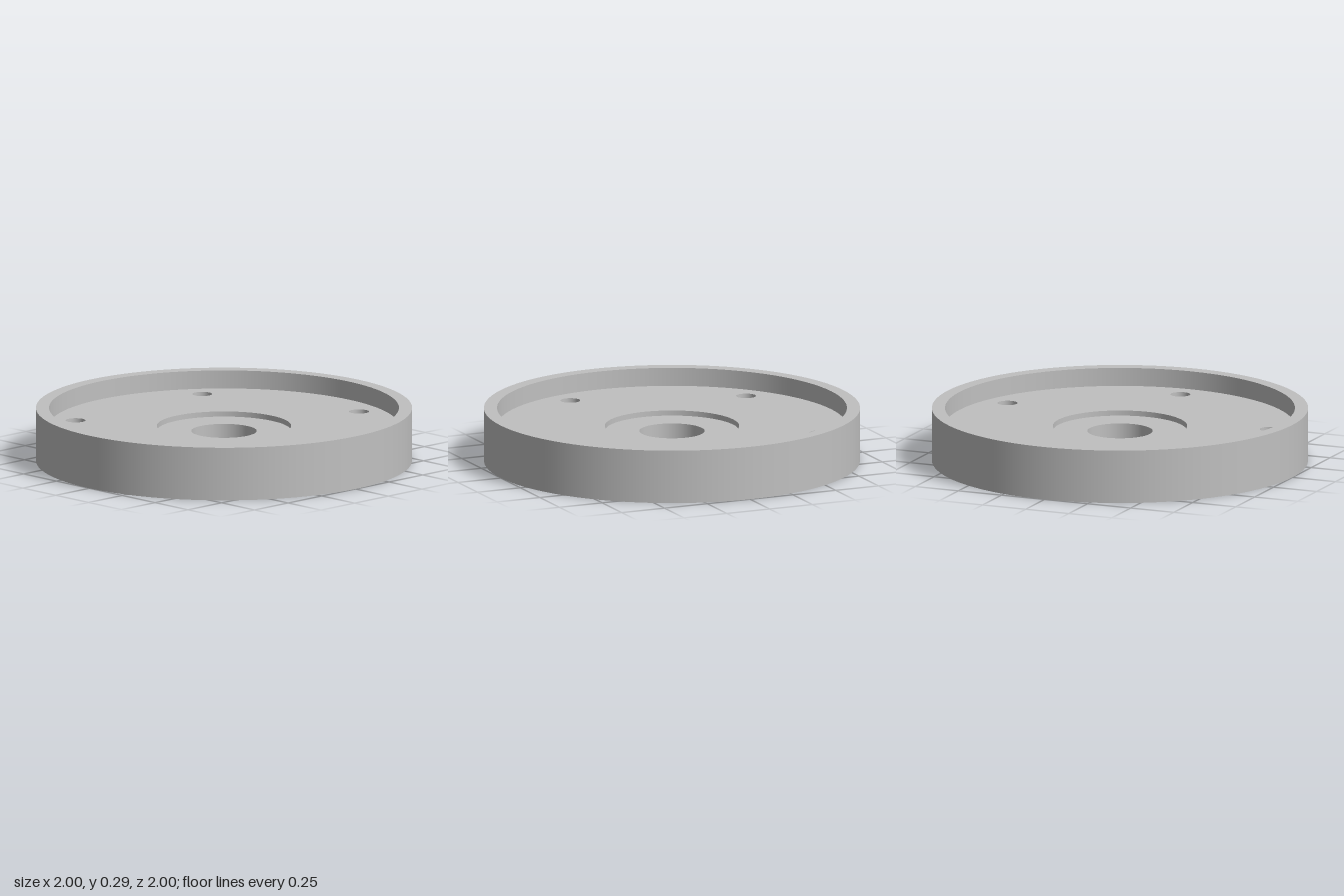
import * as THREE from 'three';
import { mergeGeometries } from 'three/addons/utils/BufferGeometryUtils.js';

const SEG = 96;
const RIM_R = 1, POCKET_R = 0.93, RECESS_R = 0.357, BORE_R = 0.174;
const TOP = 0.286, FLOOR = 0.188, RECESS = 0.16;
const BOLT_R = 0.053, COUNTERBORE_R = 0.1, COUNTERBORE_TOP = 0.1;
const PIN_R = 0.046, PIN_TOP = 0.1;

// Positions as [x, z] on a circle, angles in degrees from the front (+z) towards +x
const ring = (radius, angles) => angles.map((a) => {
  const t = THREE.MathUtils.degToRad(a);
  return [radius * Math.sin(t), radius * Math.cos(t)];
});

// Round wall: faces outward when y0 < y1, inward when y0 > y1
function wall(r, y0, y1, [x, z] = [0, 0]) {
  const points = [new THREE.Vector2(r, y0), new THREE.Vector2(r, y1)];
  return new THREE.LatheGeometry(points, SEG).translate(x, 0, z);
}

// Flat disc at height y with round holes [x, z, r]; side is +1 (up) or -1 (down)
function disc(r, y, side, holes = [], [cx, cz] = [0, 0]) {
  const shape = new THREE.Shape().absarc(0, 0, r, 0, Math.PI * 2, false);
  for (const [x, z, hr] of holes) {
    shape.holes.push(new THREE.Path().absarc(x, -side * z, hr, 0, Math.PI * 2, true));
  }
  return new THREE.ShapeGeometry(shape, SEG / 2)
    .rotateX(-side * Math.PI / 2)
    .translate(cx, y, cz);
}

export function createModel() {
  const group = new THREE.Group();
  const metal = new THREE.MeshStandardMaterial({ color: 0xc0c0c0 });
  metal.name = 'grey metal';

  const add = (name, ...parts) => {
    const mesh = new THREE.Mesh(mergeGeometries(parts), metal);
    mesh.name = name;
    group.add(mesh);
  };

  const bolts = ring(0.8, [0, 72, 144, 216, 288]);
  const pins = ring(0.853, [105, 185, 265, 345]);
  const sized = (list, r) => list.map(([x, z]) => [x, z, r]);

  // Outer rim around the shallow pocket
  add('rim',
    wall(RIM_R, 0, TOP),
    disc(RIM_R, TOP, 1, [[0, 0, POCKET_R]]),
    wall(POCKET_R, TOP, FLOOR));

  // Pocket floor, pierced by the bolt holes
  add('pocketFloor', disc(POCKET_R, FLOOR, 1, [[0, 0, RECESS_R], ...sized(bolts, BOLT_R)]));

  // Stepped recess and central through bore
  add('centreRecess',
    wall(RECESS_R, FLOOR, RECESS),
    disc(RECESS_R, RECESS, 1, [[0, 0, BORE_R]]));
  add('centreBore', wall(BORE_R, RECESS, 0));

  // Underside with counterbores and pin holes
  add('underside', disc(RIM_R, 0, -1,
    [[0, 0, BORE_R], ...sized(bolts, COUNTERBORE_R), ...sized(pins, PIN_R)]));

  // Bolt holes, counterbored from below
  for (const p of bolts) {
    add('boltHole',
      wall(BOLT_R, FLOOR, COUNTERBORE_TOP, p),
      disc(COUNTERBORE_R, COUNTERBORE_TOP, -1, [[0, 0, BOLT_R]], p),
      wall(COUNTERBORE_R, COUNTERBORE_TOP, 0, p));
  }

  // Blind pin holes in the underside
  for (const p of pins) {
    add('pinHole', wall(PIN_R, PIN_TOP, 0, p), disc(PIN_R, PIN_TOP, -1, [], p));
  }

  return group;
}
